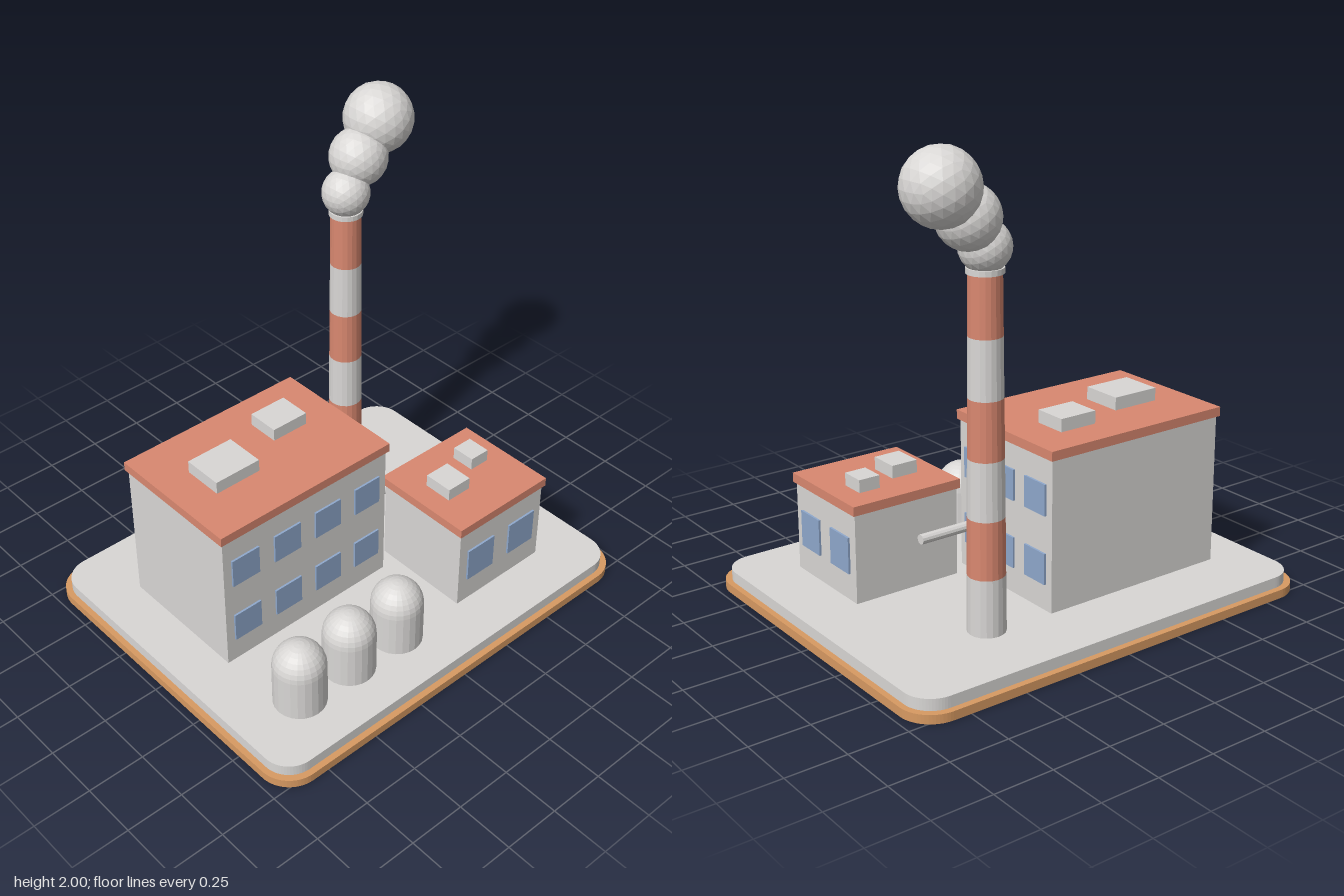
import * as THREE from 'three';

const material = (name, color, flat = false) => {
  const m = new THREE.MeshStandardMaterial({ color });
  m.name = name;
  m.flatShading = flat;
  return m;
};

export function createModel() {
  const root = new THREE.Group();
  root.name = 'factory';
  const grey = material('concrete grey', 0xd9d7d5, true);
  const red = material('brick red', 0xd98870, true);
  const blue = material('window blue', 0x8fa8cc, true);
  const tan = material('earth tan', 0xd89a62, true);

  const add = (parent, name, geometry, mat, x = 0, y = 0, z = 0) => {
    const mesh = new THREE.Mesh(geometry, mat);
    mesh.name = name;
    mesh.position.set(x, y, z);
    parent.add(mesh);
    return mesh;
  };

  // Box given by its limits on each axis
  const block = (parent, name, mat, [x0, x1], [y0, y1], [z0, z1]) =>
    add(parent, name, new THREE.BoxGeometry(x1 - x0, y1 - y0, z1 - z0), mat,
      (x0 + x1) / 2, (y0 + y1) / 2, (z0 + z1) / 2);

  // Slab with rounded corners, lying flat
  const slab = (name, mat, hx, hz, r, y0, y1) => {
    const s = new THREE.Shape();
    s.moveTo(hx, hz - r);
    s.absarc(hx - r, hz - r, r, 0, Math.PI / 2);
    s.absarc(-hx + r, hz - r, r, Math.PI / 2, Math.PI);
    s.absarc(-hx + r, -hz + r, r, Math.PI, Math.PI * 1.5);
    s.absarc(hx - r, -hz + r, r, Math.PI * 1.5, Math.PI * 2);
    const g = new THREE.ExtrudeGeometry(s, { depth: y1 - y0, bevelEnabled: false, curveSegments: 8 });
    g.rotateX(-Math.PI / 2);
    add(root, name, g, mat, 0, y0, 0);
  };
  slab('groundBase', tan, 0.968, 0.782, 0.14, 0, 0.037);
  slab('groundSlab', grey, 0.943, 0.755, 0.12, 0.037, 0.085);

  // Building: walls, overhanging roof, windows on the front and +x side, roof units
  const building = (o) => {
    const b = new THREE.Group();
    b.name = o.name;
    root.add(b);
    const [x0, x1] = o.x, [z0, z1] = o.z, e = 0.011, roofTop = o.top + 0.04;
    block(b, 'walls', grey, o.x, [0.085, o.top], o.z);
    block(b, 'roof', red, [x0 - e, x1 + e], [o.top, roofTop], [z0 - e, z1 + e]);
    for (const y of o.rows) {
      for (let i = 0; i < o.cols; i++) {
        const x = x0 + (x1 - x0) * (i + 0.5) / o.cols;
        add(b, 'frontWindow', new THREE.BoxGeometry(o.frontWidth, o.windowHeight, 0.009), blue, x, y, z1 + 0.0045);
      }
      for (let i = 0; i < o.sideCols; i++) {
        const z = z0 + (z1 - z0) * (i + 0.5) / o.sideCols;
        add(b, 'sideWindow', new THREE.BoxGeometry(0.009, o.windowHeight, o.sideWidth), blue, x1 + 0.0045, y, z);
      }
    }
    for (const [ux, uz] of o.units) block(b, 'roofUnit', grey, ux, [roofTop, roofTop + 0.055], uz);
  };
  building({
    name: 'mainBuilding', x: [-0.734, 0.13], z: [-0.459, 0.148], top: 0.73,
    rows: [0.263, 0.554], cols: 4, sideCols: 3, frontWidth: 0.136, sideWidth: 0.13, windowHeight: 0.132,
    units: [[[-0.587, -0.37], [-0.245, -0.063]], [[-0.2, -0.026], [-0.318, -0.172]]],
  });
  building({
    name: 'smallBuilding', x: [0.206, 0.695], z: [0.075, 0.526], top: 0.467,
    rows: [0.279], cols: 2, sideCols: 2, frontWidth: 0.152, sideWidth: 0.139, windowHeight: 0.156,
    units: [[[0.294, 0.414], [0.232, 0.365]], [[0.511, 0.607], [0.177, 0.284]]],
  });

  // Storage tanks with domed tops
  for (const x of [-0.642, -0.379, -0.115]) {
    const tank = new THREE.Group();
    tank.name = 'storageTank';
    tank.position.set(x, 0, 0.488);
    root.add(tank);
    add(tank, 'tankBody', new THREE.CylinderGeometry(0.111, 0.111, 0.19, 24), grey, 0, 0.18, 0);
    add(tank, 'tankDome',
      new THREE.SphereGeometry(0.111, 24, 8, 0, Math.PI * 2, 0, Math.PI / 2), grey, 0, 0.275, 0);
  }

  // Pipe leaving the main building
  const pipe = add(root, 'pipe', new THREE.CylinderGeometry(0.021, 0.021, 0.34, 12), grey, 0.28, 0.333, -0.02);
  pipe.rotation.z = Math.PI / 2;

  // Tapered chimney in alternating bands
  const chimney = new THREE.Group();
  chimney.name = 'chimney';
  chimney.position.set(0.414, 0, -0.415);
  root.add(chimney);
  const bands = 6, bandHeight = (1.505 - 0.085) / bands;
  const radius = (i) => 0.078 - 0.013 * i / bands;
  for (let i = 0; i < bands; i++) {
    add(chimney, 'chimneyBand', new THREE.CylinderGeometry(radius(i + 1), radius(i), bandHeight, 20, 1, true),
      i % 2 ? red : grey, 0, 0.085 + bandHeight * (i + 0.5), 0);
  }
  add(chimney, 'chimneyCap', new THREE.CylinderGeometry(0.073, 0.073, 0.022, 20), grey, 0, 1.515, 0);

  // Smoke puffs drifting away
  for (const [r, x, y, z] of [
    [0.102, 0.414, 1.603, -0.415],
    [0.125, 0.506, 1.726, -0.44],
    [0.149, 0.636, 1.851, -0.462],
  ]) add(root, 'smokePuff', new THREE.IcosahedronGeometry(r, 3), grey, x, y, z);

  return root;
}
